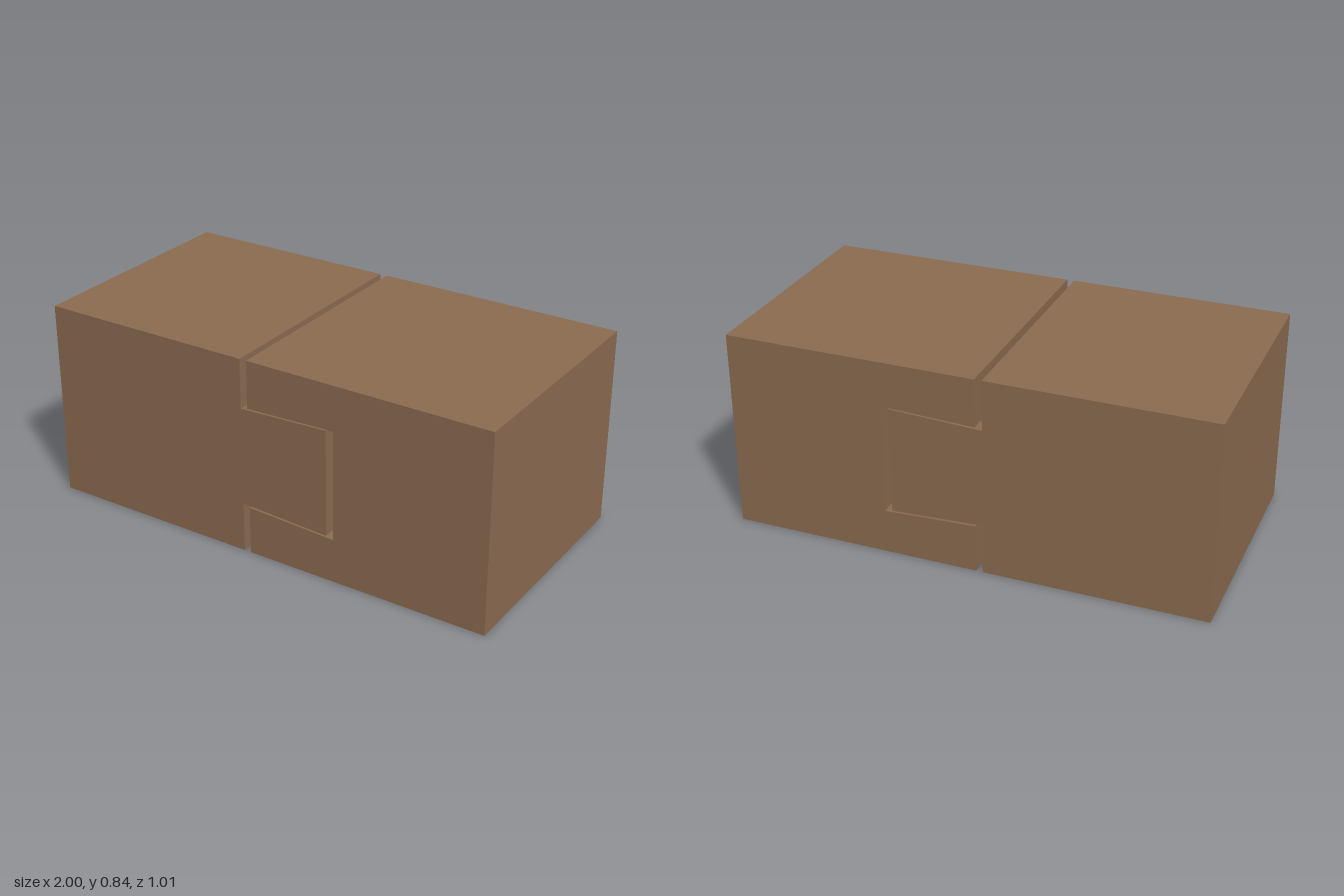
import * as THREE from 'three';

const HEIGHT = 0.84;
const DEPTH = 1.01;

// Extrudes a front outline through the full depth, centred on z = 0
function block(name, outline, material) {
  const shape = new THREE.Shape(outline.map(([x, y]) => new THREE.Vector2(x, y)));
  const geometry = new THREE.ExtrudeGeometry(shape, { depth: DEPTH, bevelEnabled: false });
  geometry.translate(0, 0, -DEPTH / 2);
  const mesh = new THREE.Mesh(geometry, material);
  mesh.name = name;
  return mesh;
}

export function createModel() {
  const wood = new THREE.MeshStandardMaterial({ color: 0x8b6b50 });
  wood.name = 'brown wood';

  const model = new THREE.Group();
  model.name = 'dovetailJoint';

  // Block with the flared tongue
  model.add(block('tongueBlock', [
    [-1, 0], [-0.08, 0], [-0.08, 0.214], [0.307, 0.195],
    [0.307, 0.647], [-0.08, 0.631], [-0.08, HEIGHT], [-1, HEIGHT],
  ], wood));

  // Block with the matching socket, leaving a narrow gap all round
  model.add(block('socketBlock', [
    [-0.05, 0], [1, 0], [1, HEIGHT], [-0.05, HEIGHT],
    [-0.05, 0.639], [0.339, 0.653], [0.339, 0.187], [-0.05, 0.204],
  ], wood));

  return model;
}
